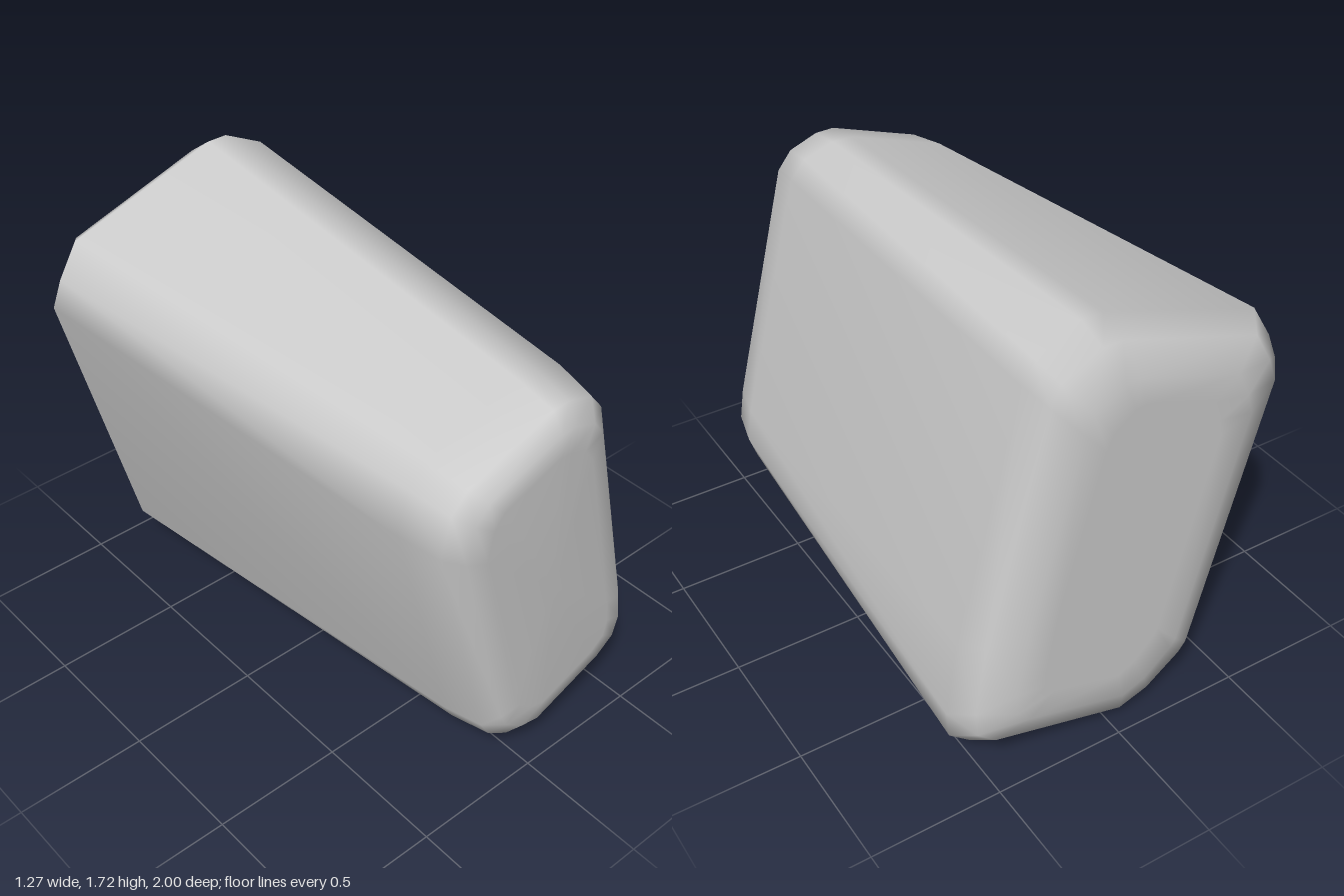
import * as THREE from 'three';

// End outlines of the leaning, tapered block, counter-clockwise as seen from +z
const BACK = [[-0.05, 0], [0.54, 0.16], [0.62, 0.23], [0.63, 0.34], [0.59, 0.64],
  [0.36, 1.56], [0.32, 1.64], [0.16, 1.72], [0.08, 1.72], [-0.52, 1.53],
  [-0.60, 1.40], [-0.64, 1.30], [-0.36, 0.19], [-0.33, 0.15], [-0.18, 0.04]];
const FRONT = [[0.02, 0.11], [0.42, 0.22], [0.52, 0.28], [0.55, 0.37], [0.53, 0.5],
  [0.28, 1.46], [0.22, 1.53], [0.10, 1.57], [0.02, 1.57], [-0.36, 1.44],
  [-0.43, 1.37], [-0.47, 1.21], [-0.22, 0.27], [-0.18, 0.20], [-0.08, 0.13]];
const BACK_CENTRE = [0, 0.87], FRONT_CENTRE = [0.04, 0.84];
const LEAN = 0.245;

// Pull an outline inwards by d, measured along the block's leaning axes
function inset(outline, [cx, cy], d) {
  const c = Math.cos(LEAN), s = Math.sin(LEAN);
  return outline.map(([x, y]) => {
    const u = ((x - cx) * c + (y - cy) * s) * (1 - d / 0.44);
    const v = (-(x - cx) * s + (y - cy) * c) * (1 - d / 0.74);
    return [cx + u * c - v * s, cy + u * s + v * c];
  });
}

function createBlockGeometry() {
  // Rings from back to front: outline, centre, inset, z
  const rings = [
    [BACK, BACK_CENTRE, 0.24, -1],
    [BACK, BACK_CENTRE, 0.15, -1],
    [BACK, BACK_CENTRE, 0.05, -0.95],
    [BACK, BACK_CENTRE, 0, -0.87],
    [FRONT, FRONT_CENTRE, 0, 0.78],
    [FRONT, FRONT_CENTRE, 0.03, 0.94],
    [FRONT, FRONT_CENTRE, 0.09, 0.99],
    [FRONT, FRONT_CENTRE, 0.17, 1],
  ];
  const n = BACK.length, pos = [], index = [];
  for (const [outline, centre, d, z] of rings) {
    for (const [x, y] of inset(outline, centre, d)) {
      // the front face falls back slightly towards +x
      pos.push(x, y, z > 0.9 ? z - 0.05 * Math.max(0, x) : z);
    }
  }
  for (let r = 0; r < rings.length - 1; r++) {
    for (let i = 0; i < n; i++) {
      const a = r * n + i, b = r * n + (i + 1) % n;
      index.push(a, b, b + n, a, b + n, a + n);
    }
  }
  // End caps
  const backMid = pos.length / 3, frontMid = backMid + 1, last = (rings.length - 1) * n;
  pos.push(...BACK_CENTRE, -1, ...FRONT_CENTRE, 0.998);
  for (let i = 0; i < n; i++) {
    const j = (i + 1) % n;
    index.push(backMid, j, i, frontMid, last + i, last + j);
  }
  const geometry = new THREE.BufferGeometry();
  geometry.setAttribute('position', new THREE.Float32BufferAttribute(pos, 3));
  geometry.setIndex(index);
  geometry.computeVertexNormals();
  return geometry;
}

export function createModel() {
  const group = new THREE.Group();
  const stone = new THREE.Mesh(createBlockGeometry(),
    new THREE.MeshStandardMaterial({ color: 0xcccccc }));
  stone.name = 'stoneBlock';
  group.add(stone);
  return group;
}
